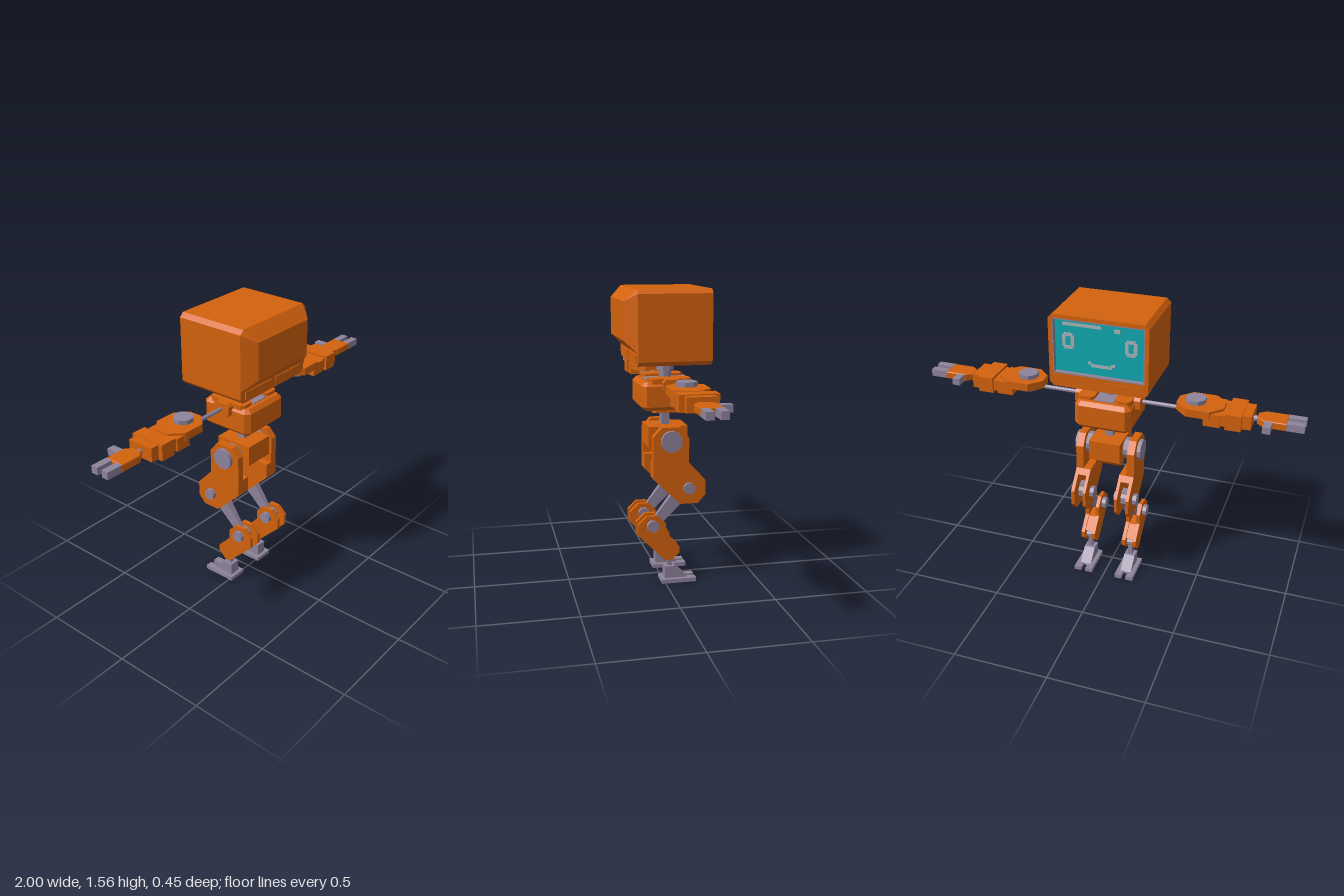
import * as THREE from 'three';
import { ConvexGeometry } from 'three/addons/geometries/ConvexGeometry.js';

const paint = (name, color) => Object.assign(new THREE.MeshStandardMaterial({ color, flatShading: true }), { name });

export function createModel() {
  const orange = paint('orange shell', 0xd4620d);
  const metal = paint('violet grey metal', 0x8f849c);
  const cyan = paint('cyan display', 0x0fa8b0);
  const pale = paint('pale pixels', 0xa9b4b6);
  const robot = new THREE.Group();
  robot.name = 'robot';
  let target = robot;

  const group = (name) => {
    target = new THREE.Group();
    target.name = name;
    robot.add(target);
  };
  const add = (name, geometry, material) => {
    const mesh = new THREE.Mesh(geometry, material);
    mesh.name = name;
    target.add(mesh);
    return mesh;
  };
  // Box from its limits on each axis
  const box = (name, mat, [x0, x1], [y0, y1], [z0, z1]) =>
    add(name, new THREE.BoxGeometry(Math.abs(x1 - x0), y1 - y0, z1 - z0)
      .translate((x0 + x1) / 2, (y0 + y1) / 2, (z0 + z1) / 2), mat);
  const extrude = (pts, depth, bevel = 0) => new THREE.ExtrudeGeometry(
    new THREE.Shape(pts.map(([a, b]) => new THREE.Vector2(a, b))),
    { depth: depth - 2 * bevel, bevelEnabled: bevel > 0, bevelSize: bevel, bevelThickness: bevel, bevelOffset: -bevel, bevelSegments: 1 },
  ).translate(0, 0, bevel);
  // Side profile of (z, y) points, swept between two x values
  const sideProfile = (name, mat, pts, xa, xb, bevel = 0) =>
    add(name, extrude(pts.map(([z, y]) => [-z, y]), Math.abs(xb - xa), bevel)
      .rotateY(Math.PI / 2).translate(Math.min(xa, xb), 0, 0), mat);
  // Plan of (x, z) points, swept between two heights
  const plan = (name, mat, pts, y0, y1, bevel = 0) =>
    add(name, extrude(pts.map(([x, z]) => [x, -z]), y1 - y0, bevel)
      .rotateX(-Math.PI / 2).translate(0, y0, 0), mat);
  // Rectangle with cut corners
  const cutRect = (a0, a1, b0, b1, c) => [
    [a0 + c, b0], [a1 - c, b0], [a1, b0 + c], [a1, b1 - c],
    [a1 - c, b1], [a0 + c, b1], [a0, b1 - c], [a0, b0 + c]];
  // Pin lying along x, and disc standing on y
  const pin = (name, mat, xa, xb, y, z, r, sides = 8) =>
    add(name, new THREE.CylinderGeometry(r, r, Math.abs(xb - xa), sides)
      .rotateY(Math.PI / sides).rotateZ(Math.PI / 2).translate((xa + xb) / 2, y, z), mat);
  const disc = (name, mat, x, z, y0, y1, r, sides = 8) =>
    add(name, new THREE.CylinderGeometry(r, r, y1 - y0, sides)
      .rotateY(Math.PI / sides).translate(x, (y0 + y1) / 2, z), mat);

  // Head: solid rear block and a front frame around a recessed display
  group('head');
  const outline = cutRect(-0.255, 0.255, 1.18, 1.56, 0.022);
  add('headShell', extrude(outline, 0.35).translate(0, 0, -0.19), orange);
  const frame = new THREE.Shape(outline.map(([x, y]) => new THREE.Vector2(x, y)));
  frame.holes.push(new THREE.Path([[-0.235, 1.25], [-0.235, 1.54], [0.235, 1.54], [0.235, 1.25]]
    .map(([x, y]) => new THREE.Vector2(x, y))));
  add('screenFrame', new THREE.ExtrudeGeometry(frame, { depth: 0.03, bevelEnabled: false }).translate(0, 0, -0.22), orange);
  for (const s of [-1, 1]) {
    box('bezelSide', metal, [s * 0.229, s * 0.235], [1.25, 1.54], [-0.219, -0.19]);
    box('rearPanel', orange, [s * 0.02, s * 0.22], [1.195, 1.235], [0.16, 0.165]);
  }
  box('bezelTop', metal, [-0.235, 0.235], [1.534, 1.54], [-0.219, -0.19]);
  box('bezelBottom', metal, [-0.235, 0.235], [1.25, 1.256], [-0.219, -0.19]);
  box('screen', cyan, [-0.23, 0.23], [1.255, 1.535], [-0.195, -0.19]);
  box('frontSlot', orange, [-0.225, -0.03], [1.2, 1.232], [-0.224, -0.22]);
  const bulge = [];
  for (const s of [-1, 1]) {
    for (const [x, y, z] of [[0.255, 1.245, 0.16], [0.255, 1.538, 0.16], [0.233, 1.56, 0.16], [0.195, 1.305, 0.222], [0.195, 1.5, 0.222]])
      bulge.push(new THREE.Vector3(s * x, y, z));
  }
  add('rearBulge', new ConvexGeometry(bulge), orange);
  // Pixel face: hollow eyes, mouth and glints
  const pixel = (name, x, y, w, h) =>
    box(name, pale, [x - w / 2, x + w / 2], [y - h / 2, y + h / 2], [-0.198, -0.195]);
  for (const s of [-1, 1]) {
    for (const t of [-1, 1]) {
      pixel('eyeSide', s * 0.16 + t * 0.022, 1.42, 0.018, 0.06);
      pixel('eyeEnd', s * 0.16, 1.42 + t * 0.033, 0.044, 0.018);
    }
  }
  pixel('mouth', -0.01, 1.305, 0.11, 0.016);
  for (const s of [-1, 1]) pixel('mouthCorner', -0.01 + s * 0.06, 1.317, 0.02, 0.014);
  pixel('glintLong', 0.09, 1.508, 0.2, 0.016);
  pixel('glintShort', -0.09, 1.5, 0.03, 0.02);

  // Neck, torso, spine and pelvis
  group('body');
  disc('neckPlate', metal, 0, -0.03, 1.16, 1.18, 0.064);
  disc('neckCollar', metal, 0, -0.03, 1.13, 1.16, 0.046);
  disc('neckPost', metal, 0, -0.03, 1.05, 1.13, 0.034);
  plan('torso', orange, cutRect(-0.15, 0.15, -0.18, 0.12, 0.025), 0.935, 1.083, 0.02);
  plan('torsoUnderside', orange, cutRect(-0.085, 0.085, -0.11, 0.05, 0.015), 0.913, 0.94);
  box('neckBase', metal, [-0.05, 0.05], [1.07, 1.088], [-0.14, 0.08]);
  for (const s of [-1, 1]) {
    plan('topRim', orange, cutRect(Math.min(s * 0.055, s * 0.14), Math.max(s * 0.055, s * 0.14), -0.14, 0.08, 0.015), 1.07, 1.1);
    sideProfile('shoulderSocket', orange, cutRect(-0.085, 0.015, 1.025, 1.1, 0.015), s * 0.14, s * 0.175);
  }
  box('spine', metal, [-0.02, 0.02], [0.83, 0.92], [-0.052, -0.008]);
  box('pelvis', orange, [-0.085, 0.085], [0.73, 0.84], [-0.135, 0.075]);
  sideProfile('pelvisBase', orange, [[0.07, 0.735], [0, 0.67], [-0.06, 0.67], [-0.13, 0.735]], -0.065, 0.065);

  for (const s of [-1, 1]) {
    const side = s > 0 ? 'left' : 'right';
    const rx = (a, b) => [s * a, s * b];
    const mirror = (pts) => pts.map(([x, z]) => [s * x, z]);

    // Arm stretched out sideways
    group(side + 'Arm');
    pin('armRod', metal, s * 0.16, s * 0.46, 1.065, -0.037, 0.011);
    plan('shoulderPlate', orange, mirror(cutRect(0.36, 0.6, -0.132, 0.06, 0.06)), 1.07, 1.112);
    disc('shoulderDisc', metal, s * 0.452, -0.037, 1.045, 1.135, 0.053);
    box('elbowBlock', orange, rx(0.51, 0.595), [1.032, 1.1], [-0.128, 0.056]);
    box('elbowLink', orange, rx(0.59, 0.63), [1.04, 1.1], [-0.12, 0.048]);
    box('forearm', orange, rx(0.62, 0.7), [1.03, 1.113], [-0.132, 0.06]);
    box('cuff', orange, rx(0.7, 0.745), [1.035, 1.108], [-0.108, 0.036]);
    pin('wrist', metal, s * 0.74, s * 0.785, 1.07, -0.037, 0.015);
    plan('hand', orange, mirror([[0.765, -0.06], [0.8, -0.09], [0.912, -0.09], [0.912, 0.017], [0.8, 0.017], [0.765, -0.01]]), 1.05, 1.09, 0.004);
    for (const z of [-0.088, -0.022]) box('finger', metal, rx(0.91, 1), [1.052, 1.09], [z, z + 0.038]);
    box('thumb', metal, rx(0.805, 0.845), [1.052, 1.088], [-0.15, -0.088]);

    // Thigh: full outer plate, short inner plate, bridge between them
    group(side + 'Leg');
    pin('hipPin', metal, s * 0.08, s * 0.18, 0.775, -0.03, 0.057, 12);
    sideProfile('thighOuter', orange, [[0.064, 0.8], [0.02, 0.848], [-0.08, 0.848], [-0.126, 0.79], [-0.126, 0.658],
      [-0.216, 0.559], [-0.216, 0.48], [-0.175, 0.435], [-0.08, 0.435], [0.064, 0.575]], s * 0.142, s * 0.16);
    sideProfile('thighUpperPad', orange, [[0.064, 0.8], [0.02, 0.848], [-0.08, 0.848], [-0.126, 0.79], [-0.126, 0.658],
      [0.064, 0.64]], s * 0.12, s * 0.145);
    sideProfile('thighInner', orange, [[0.064, 0.658], [-0.126, 0.658], [-0.216, 0.559], [-0.216, 0.48],
      [-0.175, 0.435], [-0.08, 0.435], [0.064, 0.575]], s * 0.08, s * 0.096);
    sideProfile('thighBridge', orange, [[0.064, 0.658], [-0.126, 0.658], [-0.15, 0.63], [-0.06, 0.59], [0.02, 0.535],
      [0.064, 0.575]], s * 0.09, s * 0.145);
    pin('kneePin', metal, s * 0.057, s * 0.182, 0.52, -0.125, 0.032);

    // Shank: leaning bar that narrows towards the lower joint
    const shank = [];
    for (const [y, z, half] of [[0.56, -0.135, 0.024], [0.5, -0.155, 0.024], [0.34, 0.07, 0.01], [0.3, 0.04, 0.01]])
      for (const t of [-1, 1]) shank.push(new THREE.Vector3(s * 0.119 + t * half, y, z));
    shank.push(...[-1, 1].map((t) => new THREE.Vector3(s * 0.119 + t * 0.024, 0.565, -0.1)));
    add('shank', new ConvexGeometry(shank), metal);

    // Calf: two matching plates with a bridge
    const calf = [[0.146, 0.332], [0.1, 0.377], [0.043, 0.377], [-0.002, 0.332], [-0.002, 0.274], [-0.076, 0.2],
      [-0.076, 0.167], [-0.035, 0.126], [-0.002, 0.126], [0.146, 0.274]];
    for (const x of [0.08, 0.14]) sideProfile('calfPlate', orange, calf, s * x, s * (x + 0.02));
    sideProfile('calfBridge', orange, [[0.125, 0.253], [0.09, 0.28], [0, 0.265], [-0.06, 0.205], [0.03, 0.158]], s * 0.095, s * 0.145);
    pin('calfPin', metal, s * 0.057, s * 0.182, 0.325, 0.07, 0.032);

    // Ankle and foot with two toes
    pin('anklePin', metal, s * 0.095, s * 0.145, 0.165, -0.03, 0.02);
    box('ankleStrut', metal, rx(0.107, 0.131), [0.08, 0.17], [-0.042, -0.018]);
    sideProfile('footBlock', metal, [[0, 0.02], [0, 0.088], [-0.055, 0.088], [-0.125, 0.02]], s * 0.089, s * 0.149);
    box('sole', metal, rx(0.067, 0.171), [0, 0.022], [-0.115, 0.02]);
    for (const x of [0.067, 0.131]) box('toe', metal, rx(x, x + 0.04), [0, 0.022], [-0.167, -0.115]);
  }
  return robot;
}
